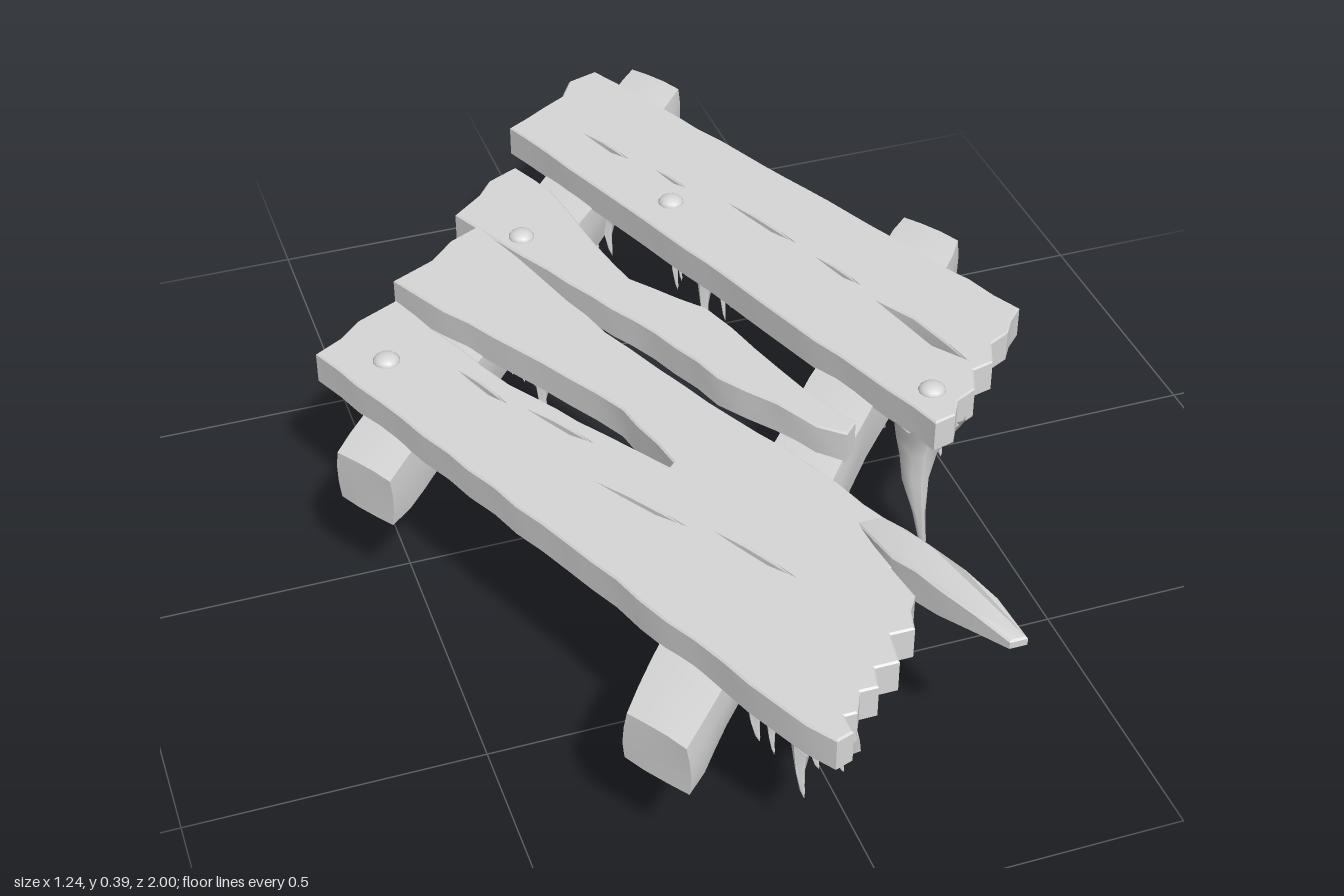
import * as THREE from 'three';
import { toCreasedNormals } from 'three/addons/utils/BufferGeometryUtils.js';

export function createModel() {
  const group = new THREE.Group();
  const wood = new THREE.MeshStandardMaterial({ color: 0xd6d6d6, side: THREE.DoubleSide });
  wood.name = 'pale grey';

  // small seeded random
  let seed = 7;
  const rnd = () => (seed = (seed * 16807) % 2147483647) / 2147483647;
  const range = (a, b) => a + (b - a) * rnd();

  const add = (geometry, name, parent = group) => {
    const mesh = new THREE.Mesh(geometry, wood);
    mesh.name = name;
    parent.add(mesh);
    return mesh;
  };

  // outline from [x, z] corners, with slightly worn edges
  const worn = (corners, amount = 0.003) => {
    const out = [];
    corners.forEach(([x, z], i) => {
      const [x2, z2] = corners[(i + 1) % corners.length];
      const n = Math.max(1, Math.round(Math.hypot(x2 - x, z2 - z) / 0.06));
      for (let k = 0; k < n; k++) {
        const j = k ? amount : 0;
        out.push(new THREE.Vector2(x + (x2 - x) * k / n + range(-j, j), -(z + (z2 - z) * k / n + range(-j, j))));
      }
    });
    return out;
  };

  // long, slightly crooked split through a plank
  const crack = (x1, z1, x2, z2, w) => {
    const l = Math.hypot(x2 - x1, z2 - z1), nx = -(z2 - z1) / l * w / 2, nz = (x2 - x1) / l * w / 2;
    const at = (t, s) => new THREE.Vector2(x1 + (x2 - x1) * t + nx * s, -(z1 + (z2 - z1) * t + nz * s));
    return new THREE.Path([at(0, 0), at(0.3, 0.4), at(0.7, 1.2), at(1, 0), at(0.75, -0.5), at(0.35, -1.1)]);
  };

  const plank = (name, corners, cracks = [], lift = () => 0) => {
    const shape = new THREE.Shape(worn(corners));
    shape.holes = cracks.map(c => crack(...c));
    const b = 0.003;
    const g = new THREE.ExtrudeGeometry(shape, { depth: 0.062 - 2 * b, bevelEnabled: true, bevelThickness: b, bevelSize: b, bevelOffset: -b, bevelSegments: 1 });
    g.rotateX(-Math.PI / 2).translate(0, 0.303 + b, 0);
    const p = g.attributes.position;
    for (let i = 0; i < p.count; i++) p.setY(i, p.getY(i) + lift(p.getZ(i), p.getY(i)));
    add(toCreasedNormals(g, 0.5), name);
  };

  // two planks joined at the front, with a slot and a broken end
  plank('joinedPlanks', [
    [-0.60, -0.17], [-0.55, -0.20], [-0.51, -0.24], [-0.43, -0.28], [-0.39, -0.17], [-0.31, 0.02], [-0.20, 0.20], [-0.125, 0.32],
    [-0.115, 0.31], [-0.15, 0.15], [-0.24, -0.02], [-0.36, -0.22], [-0.42, -0.34], [-0.34, -0.38], [-0.29, -0.43], [-0.23, -0.46],
    [-0.21, -0.40], [-0.11, -0.07], [-0.03, 0.12], [0.12, 0.45], [0.18, 0.62], [0.15, 0.68], [0.12, 0.67],
    [0.13, 0.74], [0.11, 0.77], [0.10, 0.81], [0.06, 0.81], [0.05, 0.87], [0.01, 0.87],
    [0.00, 0.91], [-0.03, 0.91], [-0.05, 0.95], [-0.07, 0.95], [-0.07, 0.985], [-0.10, 0.995], [-0.13, 0.95]
  ], [
    [-0.38, -0.04, -0.33, 0.07, 0.008], [-0.30, 0.10, -0.225, 0.22, 0.009],
    [-0.25, 0.32, -0.15, 0.47, 0.008], [-0.11, 0.50, -0.03, 0.64, 0.008]
  ]);

  // long splinter that bows up at the broken end and thins towards its tip
  plank('splinter', [
    [0.11, 0.55], [0.155, 0.55], [0.19, 0.66], [0.24, 0.80], [0.255, 0.88], [0.225, 0.88], [0.16, 0.76], [0.12, 0.67]
  ], [], (z, y) => {
    const t = Math.max(0, (z - 0.55) / 0.33);
    return y > 0.334 ? 0.024 * Math.sin(t * Math.PI) - 0.004 * t : 0.04 * t;
  });

  plank('taperedPlank', [
    [-0.26, -0.51], [-0.20, -0.56], [-0.17, -0.60], [-0.11, -0.63], [-0.07, -0.53], [-0.05, -0.38], [-0.02, -0.21], [0.08, -0.08],
    [0.12, 0.06], [0.16, 0.20], [0.205, 0.31], [0.18, 0.335], [0.14, 0.30], [0.10, 0.22], [0.03, 0.12], [-0.03, -0.04], [-0.10, -0.18], [-0.18, -0.34]
  ]);

  plank('widePlank', [
    [-0.08, -0.77], [0.00, -0.82], [0.05, -0.85], [0.08, -0.90], [0.14, -0.92], [0.17, -0.86], [0.60, 0.10], [0.57, 0.13],
    [0.55, 0.16], [0.51, 0.18], [0.49, 0.23], [0.45, 0.24], [0.43, 0.29], [0.39, 0.31], [0.37, 0.345], [0.33, 0.355]
  ], [
    [0.05, -0.70, 0.10, -0.59, 0.010], [0.14, -0.53, 0.17, -0.46, 0.007], [0.23, -0.38, 0.30, -0.22, 0.009],
    [0.32, -0.16, 0.36, -0.06, 0.008], [0.37, 0.00, 0.45, 0.21, 0.026]
  ]);

  // cross beams below, with rough faces and skewed ends
  const beamAngle = 0.876, ux = Math.cos(beamAngle), uz = Math.sin(beamAngle);
  const beams = [[-0.153, -0.432, 1.34], [0.135, 0.285, 1.42]];
  beams.forEach(([cx, cz, length], index) => {
    const g = new THREE.BoxGeometry(length, 0.11, 0.13, 26, 3, 3);
    const p = g.attributes.position;
    for (let i = 0; i < p.count; i++) {
      let x = p.getX(i), y = p.getY(i), z = p.getZ(i);
      const corner = Math.abs(y) > 0.05 && Math.abs(z) > 0.06;
      const end = Math.abs(x) > length / 2 - 0.001 && (Math.abs(y) > 0.05 || Math.abs(z) > 0.06);
      const f = (corner ? 0.94 : 1) * (end ? 0.94 : 1);
      const wave = 1 + 0.05 * Math.sin(x * 19 + index * 2) * Math.cos(x * 7 + y * 30);
      x -= 0.3 * z;
      p.setXYZ(i, x, y * f * (1 + 0.04 * Math.sin(x * 11)), z * f * wave);
    }
    const mesh = add(toCreasedNormals(g, 0.5), 'crossBeam');
    mesh.position.set(cx, 0.255, cz);
    mesh.rotation.y = beamAngle;
  });

  // round nail heads
  const nail = new THREE.SphereGeometry(0.024, 12, 6, 0, Math.PI * 2, 0, Math.PI / 2);
  nail.scale(1, 0.6, 1);
  [[-0.49, -0.11], [-0.165, -0.40], [0.13, -0.42], [0.36, 0.27]].forEach(([x, z]) =>
    add(nail, 'nailHead').position.set(x, 0.364, z));

  // hanging drip: unit spike with a flared root and a slight bend
  const profile = [[0, -1], [0.13, -0.9], [0.25, -0.68], [0.5, -0.42], [0.65, -0.24], [1, -0.1], [1.4, 0.02]];
  const spike = new THREE.LatheGeometry(profile.map(q => new THREE.Vector2(...q)), 8);
  const sp = spike.attributes.position;
  for (let i = 0; i < sp.count; i++) {
    const x = sp.getX(i), y = sp.getY(i), z = sp.getZ(i);
    const f = 1 + 0.22 * Math.sin(3 * Math.atan2(z, x) + y * 5);
    sp.setXYZ(i, x * f + 0.25 * Math.sin(y * 4), y, z * f + 0.15 * Math.sin(y * 6));
  }
  spike.computeVertexNormals();
  const drips = new THREE.Group();
  drips.name = 'hangingDrips';
  group.add(drips);
  const drip = (x, z, top, length, radius, turn = range(0, 6)) => {
    const mesh = add(spike, 'drip', drips);
    mesh.position.set(x, top, z);
    mesh.scale.set(radius, length, radius * 0.75);
    mesh.rotation.y = turn;
  };

  // crust of short, broad drips under the beams
  beams.forEach(([cx, cz, length]) => {
    for (let i = 0; i < 36; i++) {
      const t = (i / 35 - 0.5) * (length - 0.16), s = range(-0.035, 0.035);
      const depth = i % 4 ? range(0.025, 0.05) : range(0.055, 0.085);
      drip(cx + ux * t + uz * s, cz - uz * t + ux * s, 0.206, depth, range(0.022, 0.036));
    }
  });

  // clusters along the plank undersides: x, z, lowest y
  const clusters = [
    [-0.10, 0.87, 0.13], [-0.04, 0.79, 0.16], [0.04, 0.70, 0.15], [-0.14, 0.78, 0.18],
    [-0.40, 0.02, 0.15], [-0.27, 0.36, 0.17], [-0.21, -0.12, 0.16], [-0.06, 0.22, 0.19], [-0.08, -0.30, 0.18],
    [-0.13, -0.46, 0.15], [0.18, -0.36, 0.09], [0.23, -0.54, 0.15], [0.06, -0.58, 0.16], [0.40, -0.10, 0.18]
  ];
  clusters.forEach(([x, z, low]) => {
    const depth = 0.306 - low;
    drip(x, z, 0.306, depth, 0.034, -1.1);
    drip(x, z, 0.306, depth * 0.5, 0.045, -1.1);
    for (let i = 0; i < 5; i++) {
      const t = range(-0.08, 0.08), s = range(-0.015, 0.015);
      drip(x + 0.4 * t + s, z + 0.9 * t, 0.306, range(0.3, 0.75) * depth, range(0.018, 0.03), -1.1);
    }
  });

  // long drips at the broken front corners
  drip(0.355, 0.27, 0.31, 0.31, 0.046, 0);
  drip(0.54, 0.02, 0.31, 0.23, 0.034, 0);
  [[0.39, 0.25], [0.34, 0.22], [0.43, 0.2], [0.48, 0.15], [0.51, 0.09], [0.54, 0.07]].forEach(([x, z]) =>
    drip(x, z, 0.306, range(0.05, 0.12), 0.026));

  return group;
}
